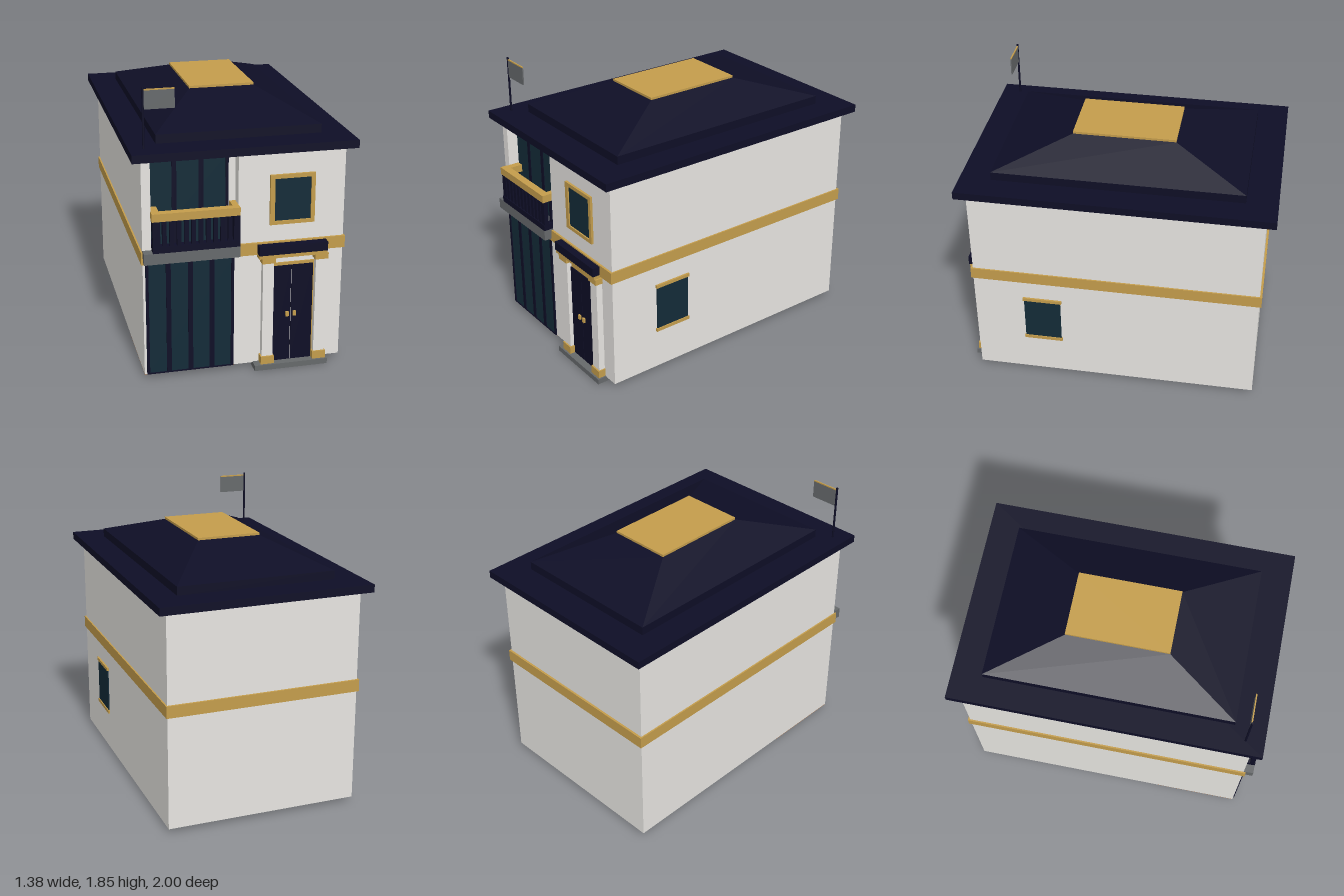
import * as THREE from 'three';

const mat = (name, color) => Object.assign(new THREE.MeshStandardMaterial({ color }), { name });

export function createModel() {
  const house = new THREE.Group();
  house.name = 'house';
  const wall = mat('wall white', 0xe9e7e3), gold = mat('gold trim', 0xc49d4c);
  const navy = mat('dark navy', 0x0e0e26), glass = mat('dark glass', 0x132b38);
  const stone = mat('grey stone', 0x66696b), brown = mat('brown floor', 0xb58562);

  const add = (name, geometry, material, parent = house) => {
    const mesh = new THREE.Mesh(geometry, material);
    mesh.name = name;
    parent.add(mesh);
    return mesh;
  };
  // Box given by its limits on each axis
  const box = (name, material, [x0, x1], [y0, y1], [z0, z1], parent) => {
    const g = new THREE.BoxGeometry(x1 - x0, y1 - y0, z1 - z0);
    g.translate((x0 + x1) / 2, (y0 + y1) / 2, (z0 + z1) / 2);
    return add(name, g, material, parent);
  };
  const group = (name) => {
    const g = new THREE.Group();
    g.name = name;
    house.add(g);
    return g;
  };

  // Walls: solid ground floor, upper floor with a balcony recess at the front
  box('lowerWalls', wall, [-0.63, 0.63], [0.03, 0.85], [-0.936, 0.936]);
  const plan = new THREE.Shape([
    [-0.63, 0.936], [0.63, 0.936], [0.63, -0.936], [-0.04, -0.936], [-0.04, -0.86],
    [-0.575, -0.86], [-0.575, -0.936], [-0.63, -0.936],
  ].map(([x, y]) => new THREE.Vector2(x, y)));
  const upper = new THREE.ExtrudeGeometry(plan, { depth: 0.58, bevelEnabled: false });
  upper.rotateX(-Math.PI / 2).translate(0, 0.85, 0);
  add('upperWalls', upper, wall);
  box('roomFloor', brown, [-0.63, -0.06], [0.026, 0.031], [0.375, 0.936]);
  box('bandCourse', gold, [-0.64, 0.64], [0.772, 0.85], [-0.95, 0.95]);

  // Roof: eave slab, plinth, hipped slope and flat cap
  const roof = group('roof');
  box('eave', navy, [-0.69, 0.69], [1.43, 1.48], [-1, 1], roof);
  box('roofPlinth', navy, [-0.515, 0.515], [1.48, 1.535], [-0.8, 0.8], roof);
  const hip = new THREE.BoxGeometry(1.03, 0.145, 1.6).toNonIndexed();
  const p = hip.attributes.position;
  for (let i = 0; i < p.count; i++) {
    if (p.getY(i) > 0) p.setXYZ(i, Math.sign(p.getX(i)) * 0.21, p.getY(i), Math.sign(p.getZ(i)) * 0.33);
  }
  hip.computeVertexNormals();
  add('roofSlope', hip.translate(0, 1.6075, 0), navy, roof);
  box('roofCap', gold, [-0.21, 0.21], [1.68, 1.695], [-0.33, 0.33], roof);

  // Flag
  const flag = group('flag');
  add('flagPole', new THREE.CylinderGeometry(0.007, 0.007, 0.37, 8).translate(-0.6, 1.665, 0.88), navy, flag);
  box('flagCloth', stone, [-0.594, -0.412], [1.717, 1.83], [0.876, 0.884], flag);
  box('flagTrim', gold, [-0.594, -0.412], [1.83, 1.838], [0.876, 0.884], flag);

  // Ground floor glazing
  const lower = group('lowerGlazing');
  box('lowerGlass', glass, [-0.615, -0.065], [0.03, 0.772], [0.93, 0.94], lower);
  [[-0.615, -0.597], [-0.49, -0.46], [-0.354, -0.324], [-0.219, -0.189], [-0.083, -0.065]].forEach((x) =>
    box('lowerMullion', navy, x, [0.03, 0.772], [0.93, 0.945], lower));
  box('lowerSill', navy, [-0.615, -0.065], [0.03, 0.038], [0.93, 0.945], lower);

  // Balcony glazing
  const doors = group('balconyGlazing');
  box('balconyGlass', glass, [-0.57, -0.085], [0.86, 1.42], [0.855, 0.866], doors);
  [[-0.434, -0.405], [-0.27, -0.24], [-0.103, -0.085]].forEach((x) =>
    box('balconyMullion', navy, x, [0.86, 1.42], [0.855, 0.87], doors));
  box('balconyLintel', gold, [-0.57, -0.085], [1.42, 1.43], [0.855, 0.872], doors);

  // Balcony slab, railing and balusters
  const balcony = group('balcony');
  box('balconySlab', stone, [-0.63, -0.042], [0.79, 0.86], [0.86, 1], balcony);
  box('railBase', navy, [-0.575, -0.042], [0.86, 0.9], [0.95, 1], balcony);
  box('handRail', gold, [-0.58, -0.042], [1.06, 1.11], [0.95, 1], balcony);
  [[-0.575, -0.53], [-0.08, -0.042]].forEach((x) => {
    box('cornerPost', navy, x, [0.9, 1.06], [0.965, 0.995], balcony);
    box('sideBase', navy, x, [0.86, 0.9], [0.866, 0.95], balcony);
    box('sideRail', gold, x, [1.06, 1.11], [0.866, 0.95], balcony);
    const mid = (x[0] + x[1]) / 2;
    [0.89, 0.93].forEach((z) =>
      box('sideBaluster', navy, [mid - 0.011, mid + 0.011], [0.9, 1.06], [z - 0.01, z + 0.01], balcony));
  });
  for (let i = 0; i < 10; i++) {
    const x = -0.504 + i * 0.0445;
    box('baluster', navy, [x - 0.013, x + 0.013], [0.9, 1.06], [0.974, 0.995], balcony);
  }

  // Entrance: step, door, pillars and canopy
  const entrance = group('entrance');
  box('doorStep', stone, [0.06, 0.535], [0, 0.036], [0.8, 1], entrance);
  box('doorFrame', gold, [0.174, 0.449], [0.036, 0.704], [0.93, 0.945], entrance);
  box('doorGap', wall, [0.29, 0.31], [0.036, 0.685], [0.93, 0.947], entrance);
  [[0.18, 0.297, 0.275], [0.301, 0.438, 0.322]].forEach(([x0, x1, hx]) => {
    box('doorLeaf', navy, [x0, x1], [0.036, 0.685], [0.93, 0.952], entrance);
    box('doorHandle', gold, [hx - 0.01, hx + 0.01], [0.342, 0.373], [0.95, 0.965], entrance);
  });
  [0.144, 0.482].forEach((x) => {
    box('pillar', wall, [x - 0.035, x + 0.035], [0.036, 0.73], [0.93, 0.978], entrance);
    box('pillarBase', gold, [x - 0.043, x + 0.043], [0.036, 0.088], [0.93, 0.988], entrance);
    box('pillarCapital', gold, [x - 0.043, x + 0.043], [0.722, 0.76], [0.93, 0.988], entrance);
  });
  box('canopyTrim', gold, [0.08, 0.515], [0.757, 0.782], [0.93, 0.993], entrance);
  box('canopy', navy, [0.08, 0.515], [0.782, 0.84], [0.93, 1], entrance);

  // Upper front window
  const front = group('frontWindow');
  box('frontPane', glass, [0.18, 0.42], [0.98, 1.26], [0.93, 0.943], front);
  [[0.155, 0.185], [0.413, 0.438]].forEach((x) =>
    box('frameSide', gold, x, [0.96, 1.28], [0.93, 0.952], front));
  [[0.96, 0.983], [1.255, 1.28]].forEach((y) =>
    box('frameBar', gold, [0.185, 0.413], y, [0.93, 0.952], front));

  // Side window
  const side = group('sideWindow');
  box('sidePane', glass, [0.625, 0.637], [0.32, 0.62], [0.362, 0.605], side);
  [[0.3, 0.322], [0.62, 0.642]].forEach((y) =>
    box('sideSill', gold, [0.625, 0.643], y, [0.354, 0.612], side));

  return house;
}
